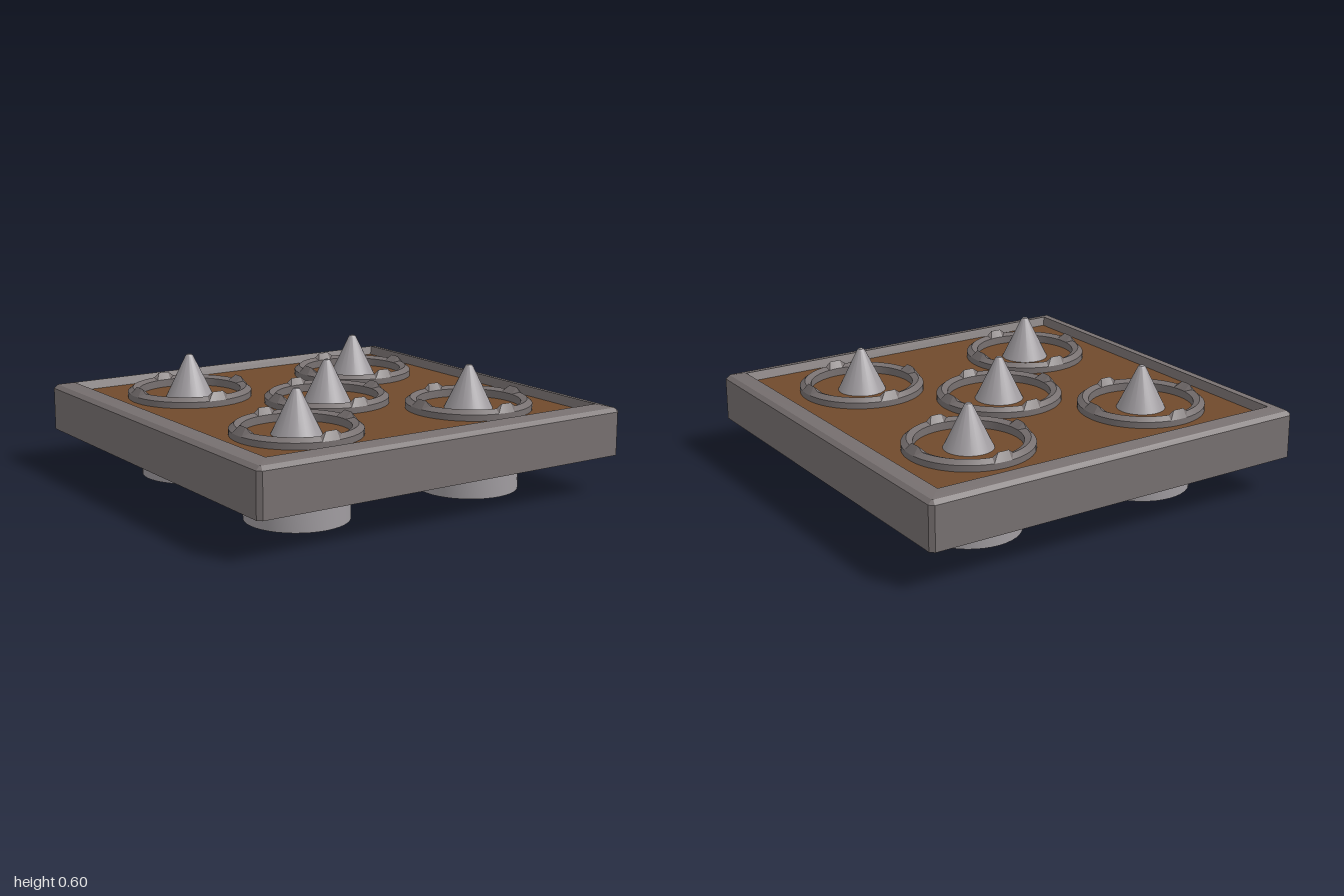
import * as THREE from 'three';
import { toCreasedNormals } from 'three/addons/utils/BufferGeometryUtils.js';

const material = (color) => new THREE.MeshStandardMaterial({ color, side: THREE.DoubleSide });
const iron = material(0x777070);
const steel = material(0xa09ca0);
const wood = material(0x704a2c);

const BOARD_Y = 0.39;

// Skins a stack of closed loops, ordered from the bottom outside up and inwards
function loft(loops) {
  const n = loops[0].length;
  const index = [];
  for (let i = 0; i < loops.length - 1; i++) {
    for (let j = 0; j < n; j++) {
      const k = (j + 1) % n;
      const a = i * n + j, b = i * n + k, c = b + n, d = a + n;
      index.push(a, b, c, a, c, d);
    }
  }
  const geometry = new THREE.BufferGeometry();
  geometry.setAttribute('position', new THREE.Float32BufferAttribute(loops.flat(2), 3));
  geometry.setIndex(index);
  return toCreasedNormals(geometry, 0.3);
}

// Square loop of half-width s with corners cut by c
function squareLoop(s, y, c) {
  const t = s - c;
  return [[-t, y, s], [t, y, s], [s, y, t], [s, y, -t],
    [t, y, -s], [-t, y, -s], [-s, y, -t], [-s, y, t]];
}

// Ring with a raised crest at four points
function ringGeometry() {
  const n = 64;
  const profile = [[0.305, BOARD_Y], [0.305, 0.42], [0.28, 0.44], [0.25, 0.428], [0.25, BOARD_Y]];
  return loft(profile.map(([r, y], p) => Array.from({ length: n }, (_, j) => {
    const step = j % 16;
    const raised = p === 2 && Math.min(step, 16 - step) <= 1;
    const a = j / n * Math.PI * 2;
    return [r * Math.sin(a), y + (raised ? 0.02 : 0), r * Math.cos(a)];
  })));
}

function turned(points) {
  const geometry = new THREE.LatheGeometry(points.map(([r, y]) => new THREE.Vector2(r, y)), 40);
  return toCreasedNormals(geometry, 0.4);
}

function add(parent, name, geometry, mat) {
  const mesh = new THREE.Mesh(geometry, mat);
  mesh.name = name;
  parent.add(mesh);
  return mesh;
}

export function createModel() {
  const model = new THREE.Group();
  model.name = 'spikePlate';

  // Thin frame, open underneath, with a sloped rim
  add(model, 'frame', loft([
    squareLoop(1, 0.19, 0.02),
    squareLoop(1, 0.4, 0.02),
    squareLoop(0.98, 0.418, 0.005),
    squareLoop(0.915, 0.432, 0),
    squareLoop(0.9, BOARD_Y, 0),
  ]), iron);

  // Wooden board
  const board = add(model, 'board', new THREE.PlaneGeometry(1.8, 1.8), wood);
  board.rotation.x = -Math.PI / 2;
  board.position.y = BOARD_Y;

  const ring = ringGeometry();
  const spike = turned([[0.117, BOARD_Y], [0.021, 0.588], [0.014, 0.598], [0, 0.6]]);
  const collar = turned([[0.19, 0.215], [0.245, 0.215], [0.245, BOARD_Y]]);
  const bell = turned([[0.245, 0], [0.245, 0.1], [0.197, 0.19], [0.19, 0.215]]);

  // Five spike units: one at the centre, four towards the corners
  for (const [x, z] of [[0, 0], [1, 1], [-1, 1], [1, -1], [-1, -1]]) {
    const unit = new THREE.Group();
    unit.name = 'spikeUnit';
    unit.position.set(x * 0.49, 0, z * 0.49);
    add(unit, 'ring', ring, iron);
    add(unit, 'spike', spike, steel);
    add(unit, 'collar', collar, iron);
    add(unit, 'bell', bell, steel);
    model.add(unit);
  }
  return model;
}
